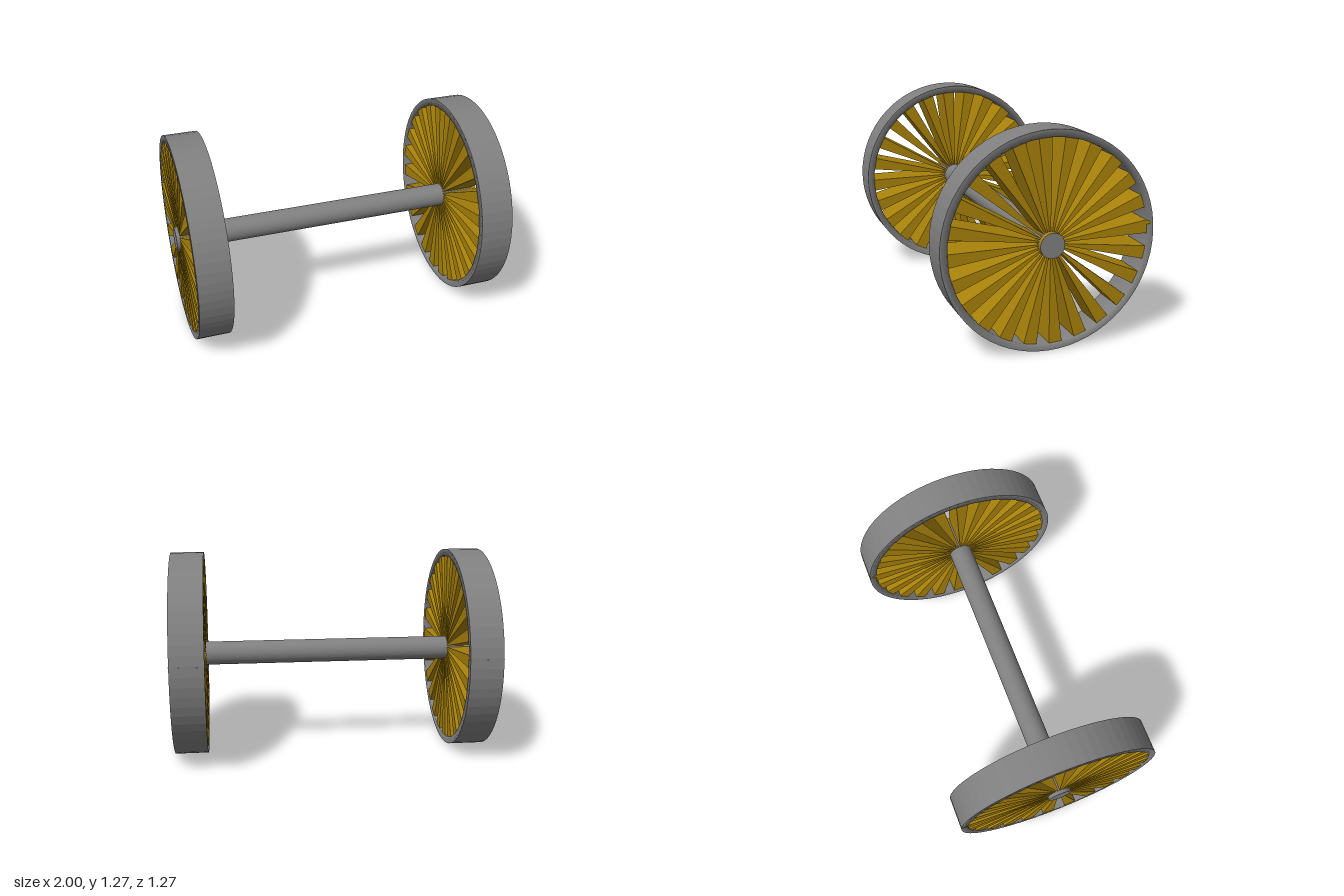
import * as THREE from 'three';

const RIM = 0.633, INNER = 0.59, WIDTH = 0.203, AXLE = 0.073, SPOKES = 24, SIDES = 64;
const grey = new THREE.MeshStandardMaterial({ color: 0x808080, flatShading: true });
const smoothGrey = new THREE.MeshStandardMaterial({ color: 0x808080 });
const gold = new THREE.MeshStandardMaterial({ color: 0xa8820a, flatShading: true });

function add(parent, name, geometry, material) {
  const mesh = new THREE.Mesh(geometry, material);
  mesh.name = name;
  parent.add(mesh);
  return mesh;
}

// Cylinder lying along x between two positions
function rod(x0, x1, radius, open = false) {
  return new THREE.CylinderGeometry(radius, radius, x1 - x0, SIDES, 1, open)
    .rotateZ(-Math.PI / 2).translate((x0 + x1) / 2, 0, 0);
}

// Flat outline extruded along x and centred on x = 0
function plate(points, depth) {
  return new THREE.ExtrudeGeometry(new THREE.Shape(points), { depth, bevelEnabled: false })
    .translate(0, 0, -depth / 2).rotateY(Math.PI / 2);
}

function polar(radius, angle) {
  return new THREE.Vector2(radius * Math.cos(angle), radius * Math.sin(angle));
}

function createWheel(name, x) {
  const wheel = new THREE.Group();
  wheel.name = name;
  wheel.position.x = x;

  // Faceted tread, and a softly shaded band for the rim's side faces and inner wall
  const h = WIDTH / 2;
  const band = [[RIM, h], [INNER, h], [INNER, -h], [RIM, -h]].map(([r, y]) => new THREE.Vector2(r, y));
  add(wheel, 'rimTread', rod(-h, h, RIM, true), grey);
  add(wheel, 'rimBand', new THREE.LatheGeometry(band, SIDES).rotateZ(-Math.PI / 2), smoothGrey);

  // Deep wedge spokes, each half a pitch wide; the first has a pointed tip over the rim
  const pitch = Math.PI * 2 / SPOKES;
  for (let i = 0; i < SPOKES; i++) {
    const a = i * pitch, b = a + pitch / 2;
    const points = [new THREE.Vector2(0, 0), polar(INNER, a)];
    if (i === 0) points.push(polar(INNER, pitch * 0.33), polar(RIM, pitch * 0.34));
    points.push(polar(INNER, b));
    add(wheel, 'spoke', plate(points, WIDTH + (i === 0 ? 0.004 : -0.002)), gold);
  }
  return wheel;
}

export function createModel() {
  const model = new THREE.Group();
  model.name = 'wheelset';
  model.position.y = RIM;

  model.add(createWheel('leftWheel', 0.869), createWheel('rightWheel', -0.878));

  // Axle with a gold collar and grey cap at its left end, set slightly below centre
  const axle = new THREE.Group();
  axle.name = 'axleAssembly';
  axle.position.y = -0.006;
  add(axle, 'axle', rod(-1, 0.97, AXLE), grey);
  add(axle, 'axleCollar', rod(0.97, 0.998, AXLE, true), gold);
  add(axle, 'axleCap', rod(0.998, 1, AXLE), grey);
  model.add(axle);

  const root = new THREE.Group();
  root.name = 'model';
  root.add(model);
  return root;
}
